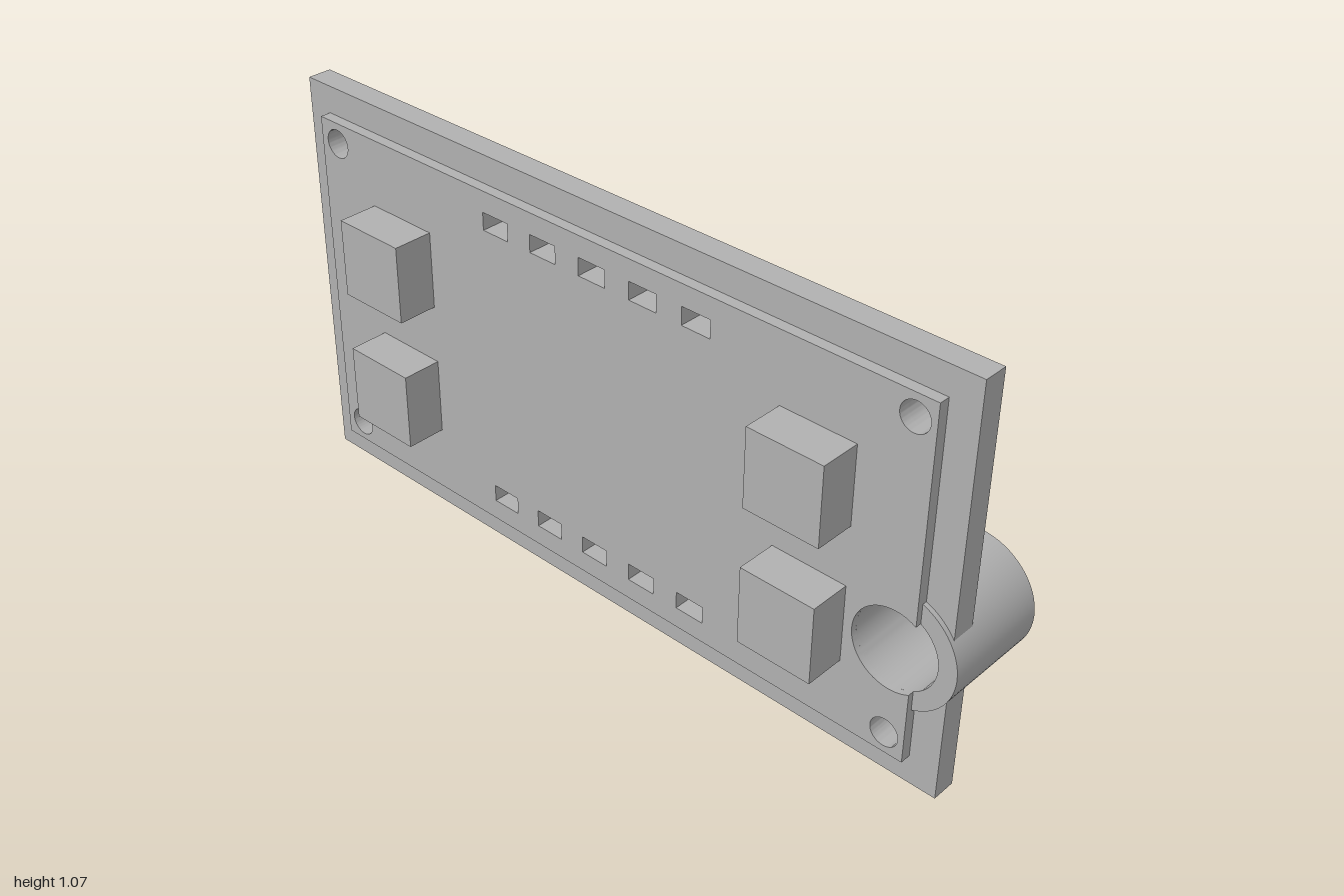
import * as THREE from 'three';
import { toCreasedNormals } from 'three/addons/utils/BufferGeometryUtils.js';

const RING = { x: 0.848, y: 0.357, outer: 0.152, inner: 0.105 };

function rectPath(path, x0, y0, x1, y1) {
  path.moveTo(x0, y0);
  path.lineTo(x1, y0);
  path.lineTo(x1, y1);
  path.lineTo(x0, y1);
  path.closePath();
  return path;
}

function circlePath(x, y, r) {
  return new THREE.Path().absarc(x, y, r, 0, Math.PI * 2, false);
}

// Screw holes and vent slots shared by both plates
function addOpenings(shape) {
  for (const x of [-0.873, 0.848])
    for (const y of [0.129, 0.938]) shape.holes.push(circlePath(x, y, 0.037));
  for (let i = 0; i < 5; i++) {
    const x = -0.319 + i * 0.152;
    for (const y of [0.153, 0.915])
      shape.holes.push(rectPath(new THREE.Path(), x - 0.04, y - 0.023, x + 0.04, y + 0.023));
  }
  return shape;
}

export function createModel() {
  const model = new THREE.Group();
  const grey = new THREE.MeshStandardMaterial({ color: 0xb0b0b0 });
  grey.name = 'grey';

  const add = (name, geometry) => {
    const mesh = new THREE.Mesh(geometry, grey);
    mesh.name = name;
    model.add(mesh);
    return mesh;
  };
  const extrude = (name, shape, z0, z1) => {
    const g = new THREE.ExtrudeGeometry(shape, { depth: z1 - z0, bevelEnabled: false, curveSegments: 32 });
    g.translate(0, 0, z0);
    return add(name, toCreasedNormals(g, Math.PI / 6));
  };

  // Back plate; its bore edge sits inside the wall of the tube
  const back = addOpenings(rectPath(new THREE.Shape(), -1, 0, 0.975, 1.065));
  back.holes.push(circlePath(RING.x, RING.y, 0.118));
  extrude('backPlate', back, 0.004, 0.067);

  // Raised front panel, with the bore breaking through its edge
  const edge = 0.9;
  const a = Math.acos((edge - RING.x) / RING.inner);
  const front = new THREE.Shape();
  front.moveTo(-0.93, 0.075);
  front.lineTo(edge, 0.075);
  front.absarc(RING.x, RING.y, RING.inner, -a, a, true);
  front.lineTo(edge, 0.993);
  front.lineTo(-0.93, 0.993);
  front.closePath();
  extrude('frontPanel', addOpenings(front), 0.067, 0.095);

  // Tube through the plates, projecting at the back
  const ring = new THREE.Shape().absarc(RING.x, RING.y, RING.outer, 0, Math.PI * 2, false);
  ring.holes.push(circlePath(RING.x, RING.y, RING.inner));
  extrude('tube', ring, -0.2, 0.079);

  // Four square blocks on the front panel
  for (const x of [-0.65, 0.62])
    for (const y of [0.355, 0.713])
      add('block', new THREE.BoxGeometry(0.2, 0.203, 0.106)).position.set(x, y, 0.147);

  return model;
}
